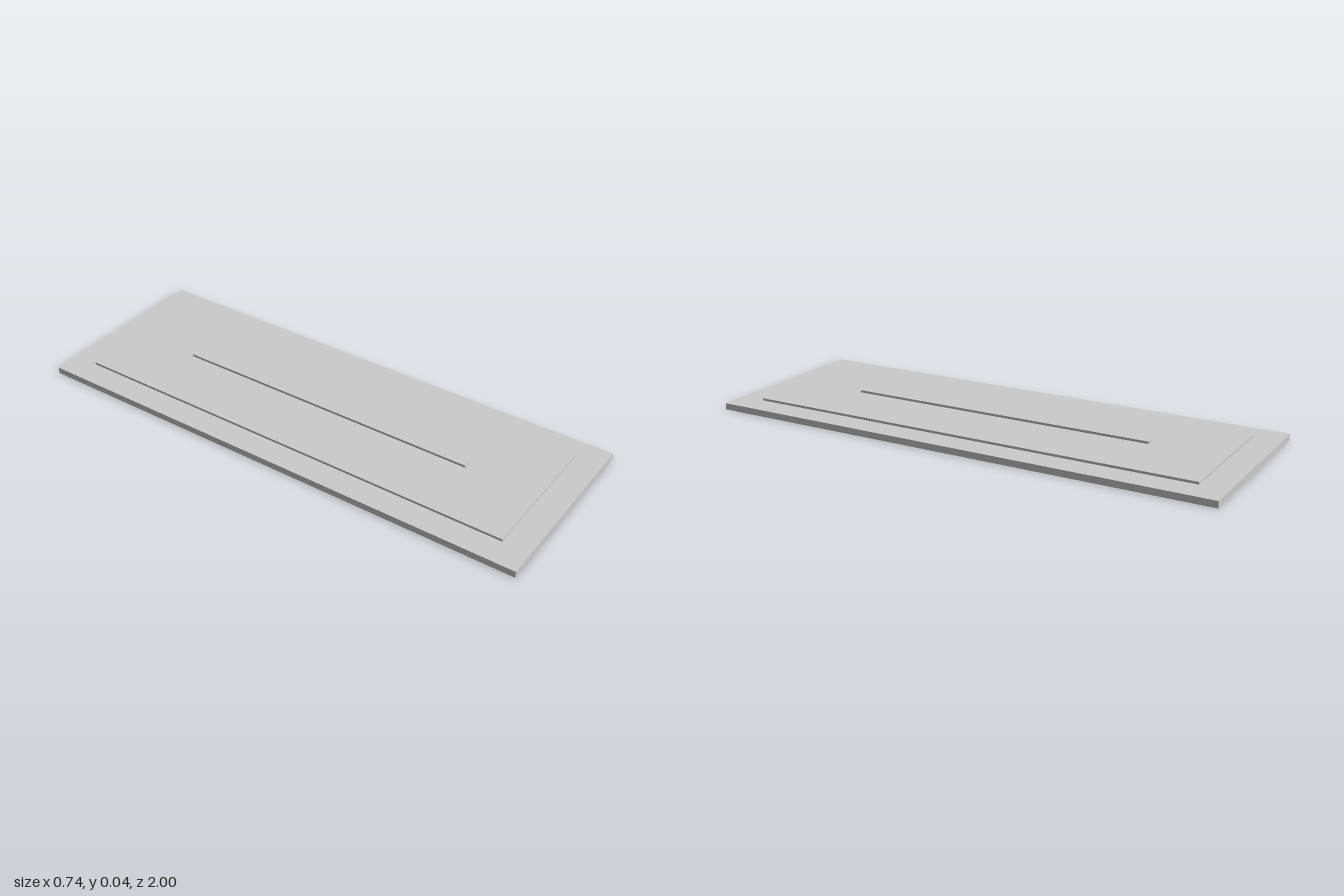
import * as THREE from 'three';

export function createModel() {
  const group = new THREE.Group();
  const material = new THREE.MeshStandardMaterial({ color: 0xcccccc });

  // Adds a flat slab centred on x and z, resting between two heights
  function addSlab(name, width, length, bottom, top) {
    const slab = new THREE.Mesh(new THREE.BoxGeometry(width, top - bottom, length), material);
    slab.name = name;
    slab.position.y = (bottom + top) / 2;
    group.add(slab);
  }

  // Three stacked layers: base, raised panel, narrow centre strip
  addSlab('basePlate', 0.736, 2, 0, 0.025);
  addSlab('raisedPanel', 0.535, 1.796, 0.025, 0.034);
  addSlab('centreStrip', 0.026, 1.23, 0.034, 0.043);

  return group;
}
